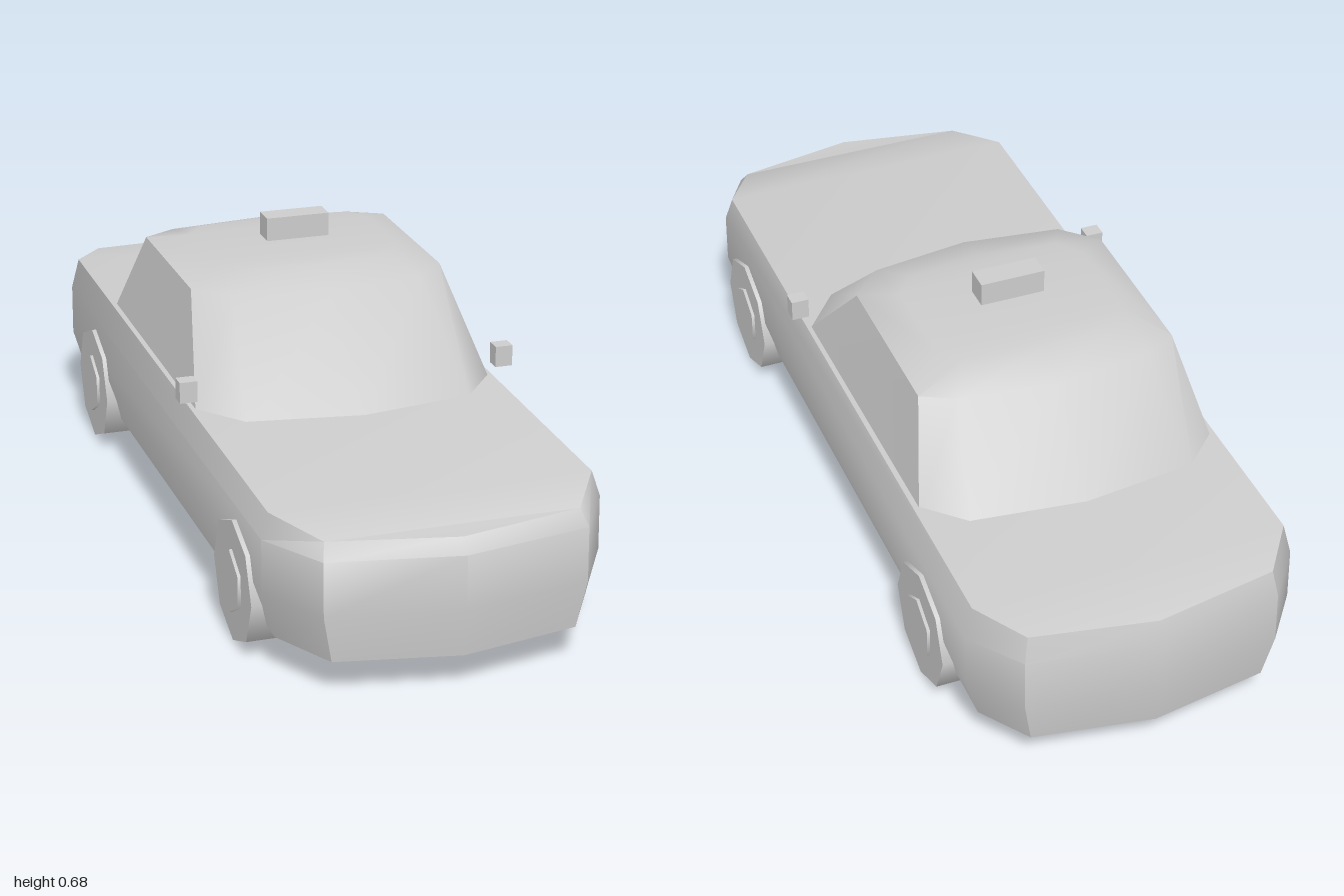
import * as THREE from 'three';
import { toCreasedNormals } from 'three/addons/utils/BufferGeometryUtils.js';

// Each ring is half an outline, front to rear, as [x, y, z]; the ends lie on x = 0.
// Rings run bottom to top, mirrored across x, with both ends closed by strips.
function loft(rings, crease) {
  const n = rings[0].length, full = 2 * n - 2, pos = [], idx = [];
  for (const ring of rings) {
    for (const p of ring) pos.push(...p);
    for (let i = n - 2; i > 0; i--) pos.push(-ring[i][0], ring[i][1], ring[i][2]);
  }
  for (let r = 0; r < rings.length - 1; r++) {
    for (let i = 0; i < full; i++) {
      const a = r * full + i, b = r * full + (i + 1) % full;
      idx.push(a, b, b + full, a, b + full, a + full);
    }
  }
  const cap = (base, up) => {
    for (let i = 0; i < n - 1; i++) {
      const r0 = base + i, r1 = base + i + 1;
      const l0 = base + (full - i) % full, l1 = base + full - i - 1;
      const tris = [];
      if (i > 0) tris.push([r0, r1, l0]);
      if (i === 0) tris.push([r0, r1, l1]);
      else if (i < n - 2) tris.push([l0, r1, l1]);
      for (const [a, b, c] of tris) up ? idx.push(a, b, c) : idx.push(a, c, b);
    }
  };
  cap(0, false);
  cap((rings.length - 1) * full, true);
  const g = new THREE.BufferGeometry();
  g.setAttribute('position', new THREE.Float32BufferAttribute(pos, 3));
  g.setIndex(idx);
  return toCreasedNormals(g, crease);
}

const level = (y, pts) => pts.map(([x, z]) => [x, y, z]);

export function createModel() {
  const car = new THREE.Group();
  car.name = 'car';
  const grey = new THREE.MeshStandardMaterial({ color: 0xcccccc });
  grey.name = 'light grey';
  const add = (name, geo, x = 0, y = 0, z = 0) => {
    const m = new THREE.Mesh(geo, grey);
    m.name = name;
    m.position.set(x, y, z);
    car.add(m);
    return m;
  };

  // Lower body with bulged sides and a gently rising deck
  const wide = [[0, 1], [0.285, 0.945], [0.37, 0.8], [0.37, -0.84], [0.285, -0.955], [0, -1]];
  add('body', loft([
    level(0.08, [[0, 0.988], [0.265, 0.935], [0.34, 0.79], [0.34, -0.83], [0.265, -0.94], [0, -0.985]]),
    level(0.185, wide),
    level(0.305, wide.map(([x, z]) => [x, z * 0.997])),
    [[0, 0.335, 0.97], [0.275, 0.338, 0.915], [0.353, 0.36, 0.79],
      [0.353, 0.378, -0.83], [0.275, 0.365, -0.94], [0, 0.355, -0.982]],
  ], 0.75));

  // Cabin with sloping screens and a bevelled roof
  add('cabin', loft([
    level(0.355, [[0, 0.37], [0.26, 0.33], [0.345, 0.225], [0.345, -0.5], [0.26, -0.587], [0, -0.62]]),
    level(0.575, [[0, 0.125], [0.22, 0.095], [0.295, 0.02], [0.295, -0.37], [0.22, -0.41], [0, -0.435]]),
    level(0.605, [[0, 0.03], [0.175, 0.005], [0.217, -0.05], [0.217, -0.27], [0.175, -0.325], [0, -0.347]]),
  ], 0.75));

  // Roof sign
  add('roofSign', new THREE.BoxGeometry(0.148, 0.054, 0.055), 0, 0.648, -0.147);

  // Mirrors, and octagonal wheels with hexagonal hubs
  const tyre = new THREE.CylinderGeometry(0.138, 0.138, 0.09, 8).rotateZ(Math.PI / 2);
  const hub = new THREE.CylinderGeometry(0.072, 0.072, 0.02, 6, 1, false, Math.PI / 2).rotateZ(Math.PI / 2);
  const mirror = new THREE.BoxGeometry(0.04, 0.048, 0.035);
  for (const [side, s] of [['left', 1], ['right', -1]]) {
    add(side + 'Mirror', mirror, s * 0.367, 0.421, 0.233);
    for (const [end, z] of [['Front', 0.62], ['Rear', -0.59]]) {
      add(side + end + 'Wheel', tyre, s * 0.335, 0.138, z);
      add(side + end + 'Hub', hub, s * 0.377, 0.138, z);
    }
  }
  return car;
}
